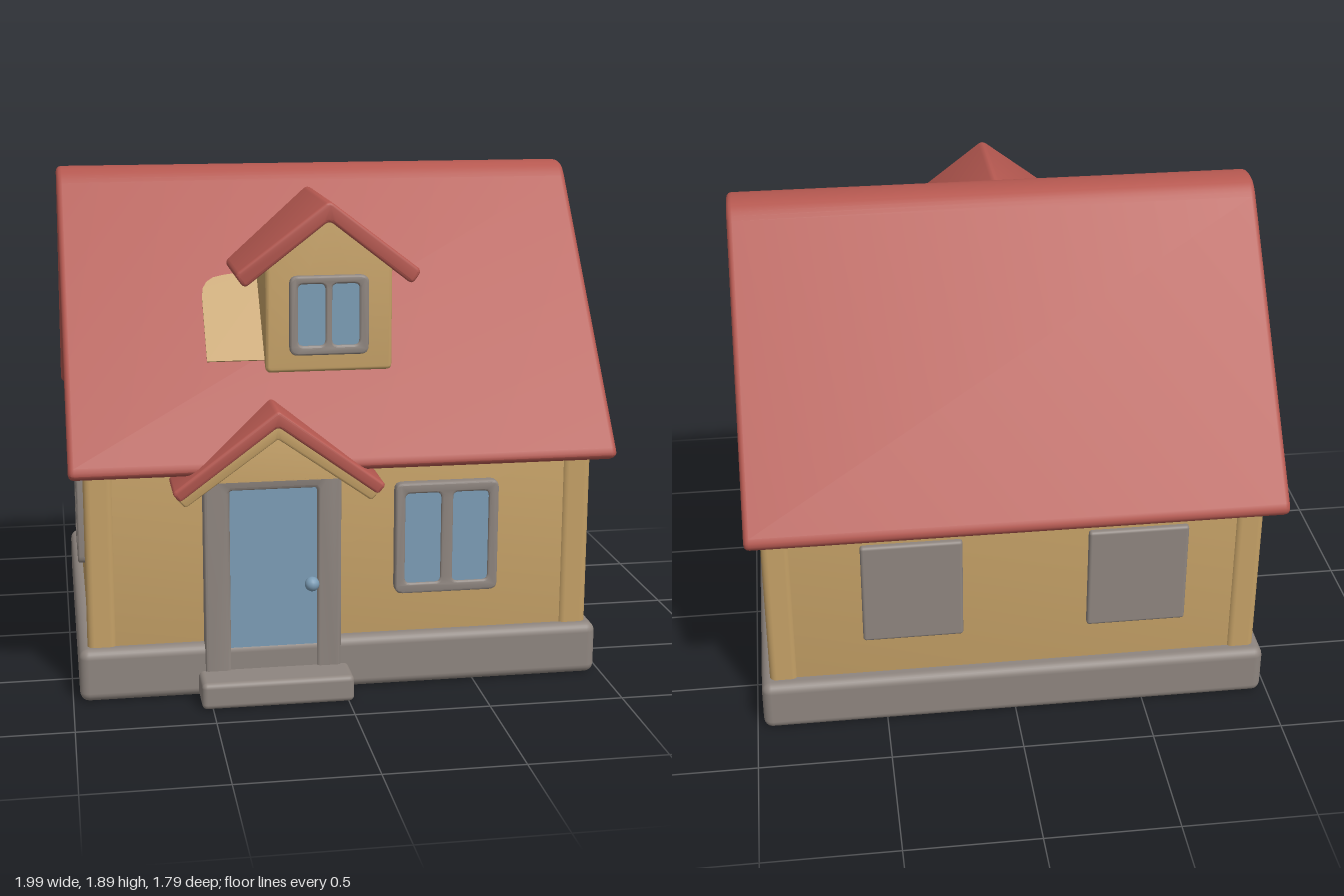
import * as THREE from 'three';
import { toCreasedNormals } from 'three/addons/utils/BufferGeometryUtils.js';
import { RoundedBoxGeometry } from 'three/addons/geometries/RoundedBoxGeometry.js';

const mat = (name, color) => Object.assign(new THREE.MeshStandardMaterial({ color }), { name });
const red = mat('roof red', 0xb55850);
const tan = mat('wall tan', 0xc4a066);
const gray = mat('stone gray', 0x8e857f);
const blue = mat('glass blue', 0x7b9cb5);

function add(parent, name, geo, material) {
  const mesh = new THREE.Mesh(geo, material);
  mesh.name = name;
  parent.add(mesh);
  return mesh;
}

// Soft-edged box given by its limits on each axis
function block(parent, name, material, [x0, x1], [y0, y1], [z0, z1], r = 0.02) {
  const geo = new RoundedBoxGeometry(x1 - x0, y1 - y0, z1 - z0, 3, r);
  geo.translate((x0 + x1) / 2, (y0 + y1) / 2, (z0 + z1) / 2);
  return add(parent, name, geo, material);
}

// Polygon outline with rounded corners
function outline(points, r) {
  const shape = new THREE.Shape();
  const pts = points.map(([x, y]) => new THREE.Vector2(x, y));
  pts.forEach((p, i) => {
    const prev = pts[(i + pts.length - 1) % pts.length];
    const next = pts[(i + 1) % pts.length];
    const toward = (q) => p.clone().add(q.clone().sub(p).setLength(Math.min(r, p.distanceTo(q) * 0.45)));
    const a = toward(prev), b = toward(next);
    if (i === 0) shape.moveTo(a.x, a.y);
    else shape.lineTo(a.x, a.y);
    shape.quadraticCurveTo(p.x, p.y, b.x, b.y);
  });
  shape.closePath();
  return shape;
}

// Bevelled extrusion along z, from z0 to z1
function extrudeZ(shape, z0, z1, bevel) {
  const geo = new THREE.ExtrudeGeometry(shape, {
    depth: z1 - z0 - 2 * bevel, bevelEnabled: bevel > 0, bevelThickness: bevel,
    bevelSize: bevel, bevelOffset: -bevel, bevelSegments: 3, curveSegments: 4,
  });
  geo.translate(0, 0, z0 + bevel);
  return toCreasedNormals(geo, 0.7);
}

// Extrusion along x of a profile given as [z, y]
function extrudeX(profile, x0, x1, r, bevel) {
  return extrudeZ(outline(profile.map(([z, y]) => [-z, y]), r), x0, x1, bevel).rotateY(Math.PI / 2);
}

const rect = (w, h, cx = 0, cy = 0) => [
  [cx - w / 2, cy - h / 2], [cx + w / 2, cy - h / 2], [cx + w / 2, cy + h / 2], [cx - w / 2, cy + h / 2],
];

// Window facing +z, wall plane at z = 0; panes are [cx, cy, w, h]
function makeWindow(name, w, h, panes, out) {
  const group = new THREE.Group();
  group.name = name;
  const shape = outline(rect(w, h), 0.03);
  for (const [cx, cy, pw, ph] of panes) shape.holes.push(outline(rect(pw, ph, cx, cy), 0.02));
  add(group, 'windowFrame', extrudeZ(shape, -0.02, out, 0.008), gray);
  for (const [cx, cy, pw, ph] of panes) {
    const glass = new THREE.BoxGeometry(pw + 0.02, ph + 0.02, 0.009);
    add(group, 'windowPane', glass.translate(cx, cy, out - 0.013), blue);
  }
  return group;
}

function place(parent, object, x, y, z, turn = 0) {
  object.position.set(x, y, z);
  object.rotation.y = turn;
  parent.add(object);
}

export function createModel() {
  const house = new THREE.Group();
  house.name = 'house';

  // Plinth and doorstep
  block(house, 'plinth', gray, [-0.975, 0.975], [0, 0.2], [-0.785, 0.75], 0.035);
  block(house, 'doorstep', gray, [-0.54, 0.02], [0, 0.1], [0.68, 0.885]);

  // Walls, gable siding and corner posts
  add(house, 'walls', extrudeX([
    [0.705, 0.15], [0.705, 0.93], [0, 1.76], [-0.73, 0.93], [-0.73, 0.15],
  ], -0.934, 0.934, 0.02, 0.015), tan);
  add(house, 'gableSiding', extrudeX([
    [0.62, 1.04], [0, 1.78], [-0.64, 1.04],
  ], -0.942, 0.942, 0.01, 0.008), tan);
  for (const s of [-1, 1]) {
    const xs = s > 0 ? [0.835, 0.942] : [-0.942, -0.835];
    block(house, 'frontCornerPost', tan, xs, [0.17, 0.92], [0.63, 0.715], 0.025);
    block(house, 'backCornerPost', tan, xs, [0.17, 0.92], [-0.74, -0.65], 0.025);
  }

  // Main roof
  add(house, 'mainRoof', extrudeX([
    [0.875, 0.885], [0.08, 1.865], [0.03, 1.888], [-0.05, 1.888], [-0.1, 1.865], [-0.905, 0.905],
    [-0.825, 0.853], [-0.01, 1.745], [0.785, 0.853],
  ], -0.995, 0.995, 0.04, 0.02), red);
  add(house, 'rakeTrim', extrudeX([
    [0.25, 1.53], [0.79, 0.91], [0.745, 0.875], [0.215, 1.495],
  ], 0.991, 0.999, 0.01, 0), tan);

  // Pale patch lying on the front slope beside the dormer
  const patch = new THREE.Shape();
  patch.moveTo(-0.48, -0.19);
  patch.lineTo(-0.2, -0.19);
  patch.lineTo(-0.2, 0.2);
  patch.lineTo(-0.4, 0.17);
  patch.quadraticCurveTo(-0.48, 0.16, -0.48, 0.08);
  const patchMesh = add(house, 'roofPatch', extrudeZ(patch, 0, 0.008, 0), tan);
  patchMesh.position.set(0, 1.375, 0.475);
  patchMesh.rotation.x = -Math.atan2(0.795, 0.98);

  // Dormer
  const dormer = new THREE.Group();
  dormer.name = 'dormer';
  house.add(dormer);
  add(dormer, 'dormerWalls', extrudeZ(outline([
    [-0.27, 1.19], [0.195, 1.19], [0.195, 1.58], [-0.04, 1.765], [-0.27, 1.58],
  ], 0.02), 0.1, 0.64, 0.012), tan);
  add(dormer, 'dormerRoof', extrudeZ(outline([
    [0.3, 1.555], [-0.04, 1.815], [-0.385, 1.555], [-0.348, 1.505], [-0.04, 1.742], [0.265, 1.505],
  ], 0.02), 0.1, 0.662, 0.012), red);
  const dormerPanes = [-0.065, 0.06].map((x) => [x, 0.003, 0.1, 0.225]);
  place(dormer, makeWindow('dormerWindow', 0.29, 0.29, dormerPanes, 0.024), -0.04, 1.4, 0.64);

  // Porch roof, lining and gable infill
  const porch = new THREE.Group();
  porch.name = 'porch';
  house.add(porch);
  add(porch, 'porchRoof', extrudeZ(outline([
    [0.128, 0.825], [-0.26, 1.11], [-0.638, 0.825], [-0.61, 0.79], [-0.26, 1.05], [0.098, 0.79],
  ], 0.015), 0.64, 0.9, 0.01), red);
  add(porch, 'porchLining', extrudeZ(outline([
    [0.105, 0.8], [-0.26, 1.065], [-0.62, 0.8], [-0.59, 0.768], [-0.26, 1.005], [0.075, 0.768],
  ], 0.01), 0.64, 0.893, 0.008), tan);
  add(porch, 'porchGable', extrudeZ(outline([
    [-0.5, 0.848], [-0.02, 0.848], [-0.26, 1.04],
  ], 0.01), 0.68, 0.872, 0.005), tan);

  // Door
  const frame = outline([[-0.515, 0.05], [-0.01, 0.05], [-0.01, 0.87], [-0.515, 0.87]], 0.03);
  frame.holes.push(outline([[-0.42, 0.08], [-0.1, 0.08], [-0.1, 0.785], [-0.42, 0.785]], 0.01));
  add(house, 'doorFrame', extrudeZ(frame, 0.68, 0.76, 0.012), gray);
  block(house, 'door', blue, [-0.43, -0.09], [0.07, 0.795], [0.7, 0.745], 0.01);
  const knob = add(house, 'doorKnob', new THREE.SphereGeometry(0.027, 16, 12), blue);
  knob.position.set(-0.122, 0.425, 0.775);

  // Front and side windows
  const pair = (w, h) => [-1, 1].map((s) => [s * 0.09, 0, w, h]);
  place(house, makeWindow('frontWindow', 0.39, 0.425, pair(0.135, 0.345), 0.035), 0.39, 0.568, 0.705);
  for (const s of [-1, 1]) {
    const turn = s * Math.PI / 2;
    place(house, makeWindow('sideWindow', 0.42, 0.425, pair(0.15, 0.35), 0.026), s * 0.934, 0.568, -0.005, turn);
    const gablePanes = [[0, -0.035, 0.2, 0.115], [0, 0.08, 0.2, 0.07]];
    place(house, makeWindow('gableWindow', 0.275, 0.3, gablePanes, 0.026), s * 0.936, 1.36, -0.02, turn);
  }

  // Plain shutters on the back
  for (const x of [0.39, -0.465]) {
    block(house, 'backShutter', gray, [x - 0.19, x + 0.19], [0.36, 0.78], [-0.752, -0.71], 0.012);
  }
  return house;
}
